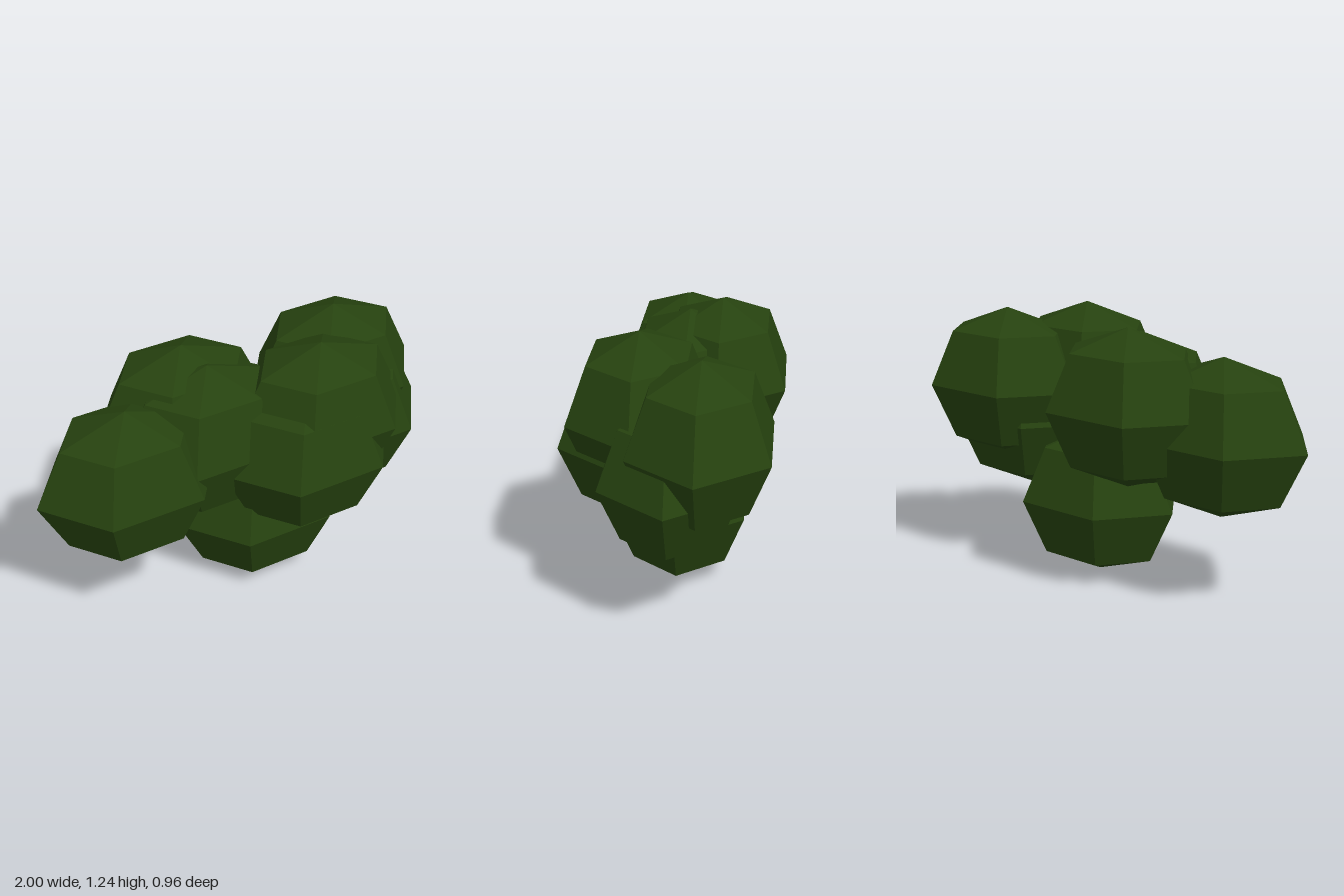
import * as THREE from 'three';

// A low-poly bush: overlapping squashed hexagonal leaf clumps
export function createModel() {
  const bush = new THREE.Group();
  bush.name = 'bush';

  const leafGreen = new THREE.MeshStandardMaterial({ color: 0x26420f, flatShading: true });
  leafGreen.name = 'leaf green';

  // One faceted clump, shared by all
  const clump = new THREE.SphereGeometry(1, 6, 4);
  clump.scale(0.43, 0.355, 0.34);

  // Clump centres
  const clumps = {
    baseClump: [0.105, 0.36, -0.03],
    rightClump: [-0.57, 0.75, 0],
    backClump: [-0.2, 0.86, -0.19],
    middleClump: [-0.15, 0.82, -0.045],
    frontClump: [0.23, 0.74, 0.18],
    topClump: [0.32, 0.885, 0.13],
    leftBackClump: [0.57, 0.865, -0.15],
    leftLowerClump: [0.54, 0.705, -0.03],
  };

  for (const [name, centre] of Object.entries(clumps)) {
    const mesh = new THREE.Mesh(clump, leafGreen);
    mesh.name = name;
    mesh.position.set(...centre);
    bush.add(mesh);
  }
  return bush;
}
